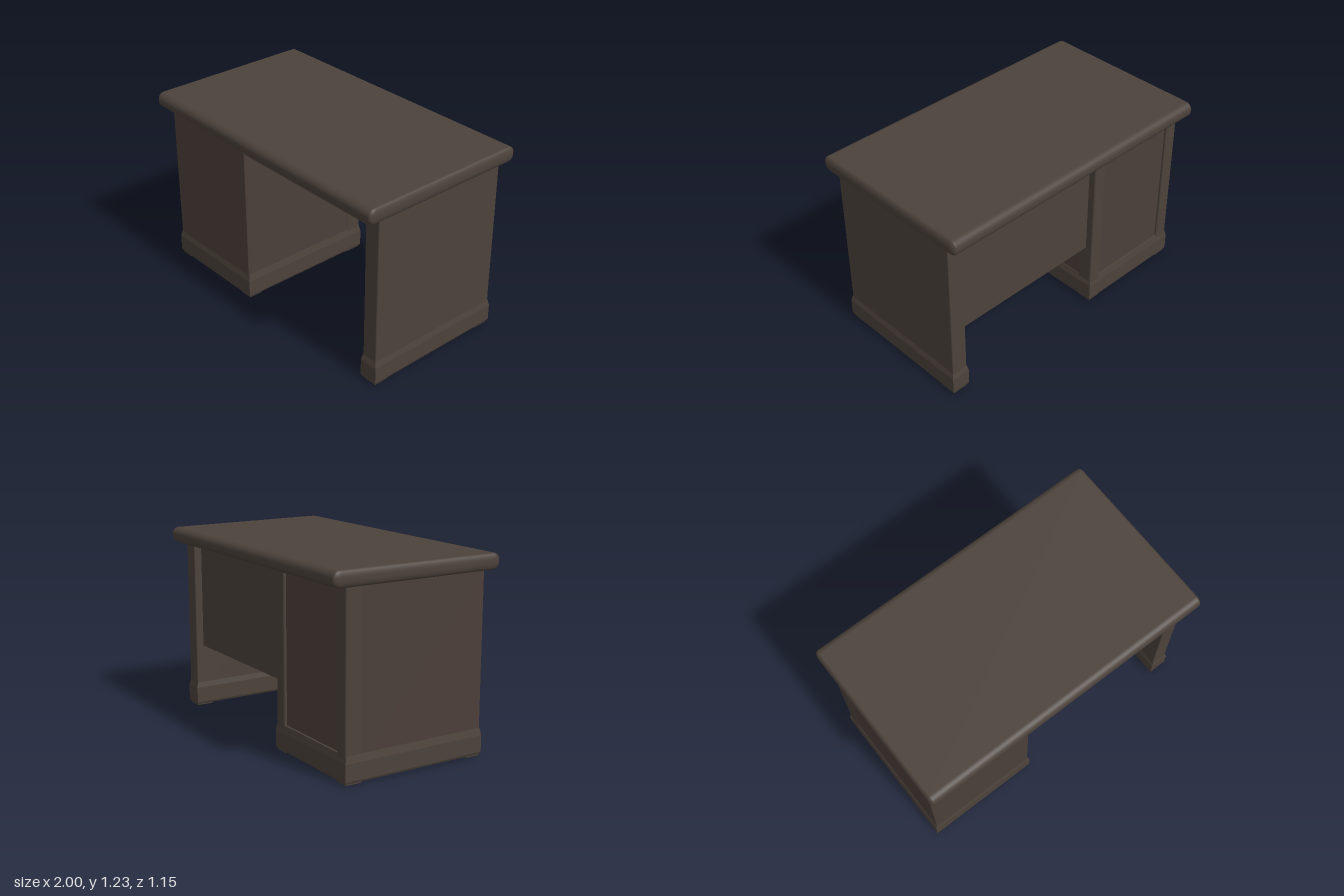
import * as THREE from 'three';
import { RoundedBoxGeometry } from 'three/addons/geometries/RoundedBoxGeometry.js';

export function createModel() {
  const desk = new THREE.Group();
  desk.name = 'desk';
  const wood = new THREE.MeshStandardMaterial({ color: 0x4c423b });
  wood.name = 'dark wood';
  const panelWood = new THREE.MeshStandardMaterial({ color: 0x4b3f39 });
  panelWood.name = 'warm dark wood';

  function add(name, geometry, material = wood) {
    const mesh = new THREE.Mesh(geometry, material);
    mesh.name = name;
    desk.add(mesh);
    return mesh;
  }

  // Box given by its limits on each axis, with softly rounded edges
  function block(name, [x0, x1], [y0, y1], [z0, z1], material = wood, radius = 0.005) {
    const g = new RoundedBoxGeometry(x1 - x0, y1 - y0, z1 - z0, 2, radius);
    g.translate((x0 + x1) / 2, (y0 + y1) / 2, (z0 + z1) / 2);
    return add(name, g, material);
  }

  // Plinth: straight skirt that tapers in to the body above it
  function plinth(name, [x0, x1], [z0, z1], flare) {
    const levels = [[0.012, flare * 0.4], [0.025, flare], [0.13, flare], [0.175, 0]];
    let g = new THREE.BoxGeometry(1, 3, 1, 1, 3, 1);
    const p = g.attributes.position;
    for (let i = 0; i < p.count; i++) {
      const [y, f] = levels[Math.round(p.getY(i) + 1.5)];
      p.setXYZ(i,
        p.getX(i) < 0 ? x0 - f : x1 + f, y,
        p.getZ(i) < 0 ? z0 - f : z1 + f);
    }
    g = g.toNonIndexed();
    g.computeVertexNormals();
    return add(name, g);
  }

  // Worktop: a rounded slab, with tighter rounding on the two short ends
  const topGeometry = new RoundedBoxGeometry(2 / 0.5, 0.1, 1.155, 4, 0.045);
  topGeometry.scale(0.5, 1, 1);
  add('worktop', topGeometry).position.set(0, 1.18, 0);

  // Drawer pedestal on the model's right
  block('pedestalBody', [-0.968, -0.226], [0.02, 1.14], [-0.465, 0.48], panelWood);
  for (const [x0, x1] of [[-0.97, -0.88], [-0.31, -0.22]]) {
    block('pedestalBackPost', [x0, x1], [0.02, 1.14], [-0.482, -0.37], wood, 0.012);
  }
  plinth('pedestalPlinth', [-0.97, -0.222], [-0.478, 0.479], 0.009);

  // Side panel on the model's left
  block('sidePanel', [0.858, 0.966], [0.02, 1.14], [-0.481, 0.48], wood, 0.008);
  plinth('sidePanelPlinth', [0.86, 0.965], [-0.478, 0.479], 0.01);

  // Low feet at the corners
  for (const [x0, x1] of [[-0.972, -0.88], [-0.31, -0.222], [0.86, 0.966]]) {
    for (const [z0, z1] of [[-0.48, -0.37], [0.38, 0.48]]) {
      block('foot', [x0, x1], [0, 0.04], [z0, z1], wood, 0.006);
    }
  }

  // Back modesty panel and front rail of the knee space
  block('modestyPanel', [-0.24, 0.87], [0.42, 1.14], [-0.43, -0.36]);
  block('frontRail', [-0.24, 0.87], [1.05, 1.14], [0.43, 0.476]);

  return desk;
}
